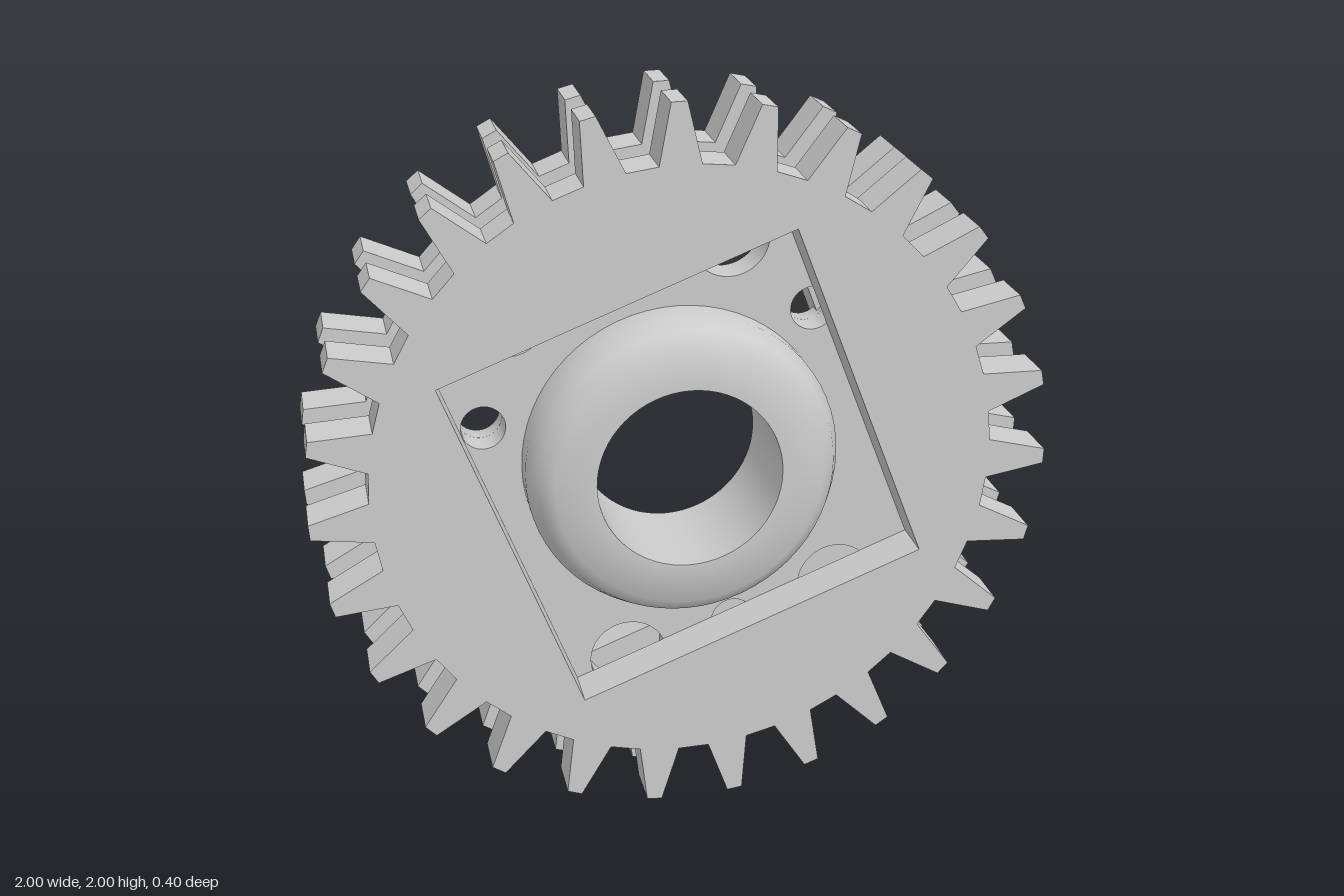
import * as THREE from 'three';
import { toCreasedNormals } from 'three/addons/utils/BufferGeometryUtils.js';

const TEETH = 27;
const START = THREE.MathUtils.degToRad(91.3);
const material = new THREE.MeshStandardMaterial({ color: 0xcccccc });
const polar = (r, a) => new THREE.Vector2(r * Math.cos(a), r * Math.sin(a));
const circle = (x, y, r) => new THREE.Path().absarc(x, y, r, 0, Math.PI * 2, true);

function add(group, name, geometry, crease) {
  const mesh = new THREE.Mesh(toCreasedNormals(geometry, crease), material);
  mesh.name = name;
  group.add(mesh);
  return mesh;
}

// Flat slab between two depths
function slab(shape, z0, z1) {
  const g = new THREE.ExtrudeGeometry(shape, { depth: z1 - z0, bevelEnabled: false, curveSegments: 32 });
  return g.translate(0, 0, z0);
}

// Ring turned about the z axis; profile is [radius, z], closed
function turned(profile, segments) {
  const points = profile.map(([r, z]) => new THREE.Vector2(r, z));
  return new THREE.LatheGeometry(points, segments).rotateX(Math.PI / 2);
}

// Toothed outline with a tilted square window
function gearShape() {
  const outline = [];
  for (let i = 0; i < TEETH; i++) {
    const a = START + (i / TEETH) * Math.PI * 2;
    outline.push(polar(0.84, a - 0.066), polar(1, a - 0.021), polar(1, a + 0.021), polar(0.84, a + 0.066));
  }
  const shape = new THREE.Shape(outline);
  const corners = [];
  for (let i = 0; i < 4; i++) corners.push(polar(0.715, THREE.MathUtils.degToRad(66.3) - i * Math.PI / 2));
  shape.holes.push(new THREE.Path(corners));
  return shape;
}

export function createModel() {
  const model = new THREE.Group();
  model.name = 'doubleGear';
  const wheel = new THREE.Group();
  wheel.name = 'wheel';
  wheel.position.y = 1;
  model.add(wheel);

  // Two matching toothed plates
  add(wheel, 'frontGearPlate', slab(gearShape(), 0.03, 0.16), 0.4);
  add(wheel, 'backGearPlate', slab(gearShape(), -0.2, -0.07), 0.4);

  // Middle disc with six large and three small holes
  const disc = new THREE.Shape().absarc(0, 0, 0.76, 0, Math.PI * 2, false);
  disc.holes.push(circle(0, 0, 0.35));
  for (let i = 0; i < 6; i++) {
    const c = polar(0.62, THREE.MathUtils.degToRad(17 + i * 60));
    disc.holes.push(circle(c.x, c.y, 0.108));
  }
  const bolts = [47, 167, 287].map((d) => polar(0.538, THREE.MathUtils.degToRad(d)));
  for (const c of bolts) disc.holes.push(circle(c.x, c.y, 0.06));
  add(wheel, 'middleDisc', slab(disc, -0.07, 0.03), 0.4);

  // Rounded central hub with its bore
  const hub = turned([
    [0.25, 0.2], [0.25, -0.14], [0.39, -0.14], [0.415, -0.125], [0.425, -0.1],
    [0.425, 0.1], [0.4, 0.16], [0.36, 0.2], [0.25, 0.2],
  ], 64);
  add(wheel, 'hub', hub, 0.9);

  // Rounded bosses behind the small holes
  for (const c of bolts) {
    const boss = turned([
      [0.06, -0.05], [0.06, -0.105], [0.07, -0.122], [0.085, -0.128], [0.1, -0.122],
      [0.112, -0.105], [0.115, -0.085], [0.115, -0.05], [0.06, -0.05],
    ], 32);
    add(wheel, 'boltBoss', boss, 0.9).position.set(c.x, c.y, 0);
  }
  return model;
}
